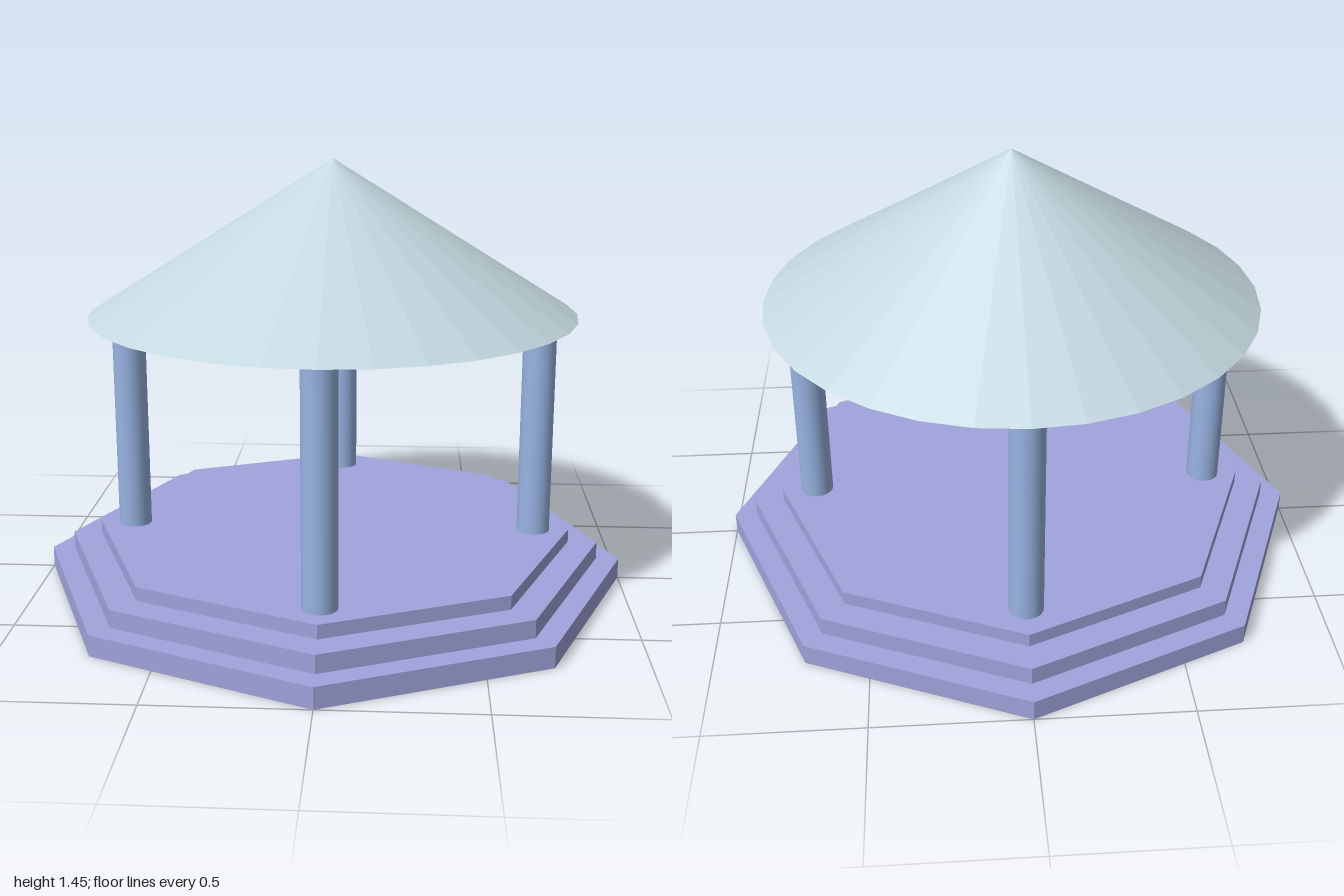
import * as THREE from 'three';

export function createModel() {
  const model = new THREE.Group();
  model.name = 'pavilion';
  const stone = new THREE.MeshStandardMaterial({ color: 0xa0a4dc, flatShading: true });
  stone.name = 'lavender stone';
  const blue = new THREE.MeshStandardMaterial({ color: 0x98b3e2 });
  blue.name = 'column blue';
  const slate = new THREE.MeshStandardMaterial({ color: 0xc3d7df, flatShading: true });
  slate.name = 'pale roof';

  const add = (name, geometry, material, x, y, z) => {
    const mesh = new THREE.Mesh(geometry, material);
    mesh.name = name;
    mesh.position.set(x, y, z);
    model.add(mesh);
  };

  // Octagonal steps, with corners on the axes
  const steps = [
    { name: 'lowerStep', r: 1, y0: 0, y1: 0.07 },
    { name: 'middleStep', r: 0.922, y0: 0.07, y1: 0.13 },
    { name: 'floor', r: 0.822, y0: 0.13, y1: 0.176 },
  ];
  for (const { name, r, y0, y1 } of steps) {
    add(name, new THREE.CylinderGeometry(r, r, y1 - y0, 8), stone, 0, (y0 + y1) / 2, 0);
  }

  // Four columns, at front, back and both sides
  const columnGeometry = new THREE.CylinderGeometry(0.056, 0.056, 0.764, 32);
  ['frontColumn', 'leftColumn', 'backColumn', 'rightColumn'].forEach((name, i) => {
    const a = (i * Math.PI) / 2;
    add(name, columnGeometry, blue, 0.698 * Math.sin(a), 0.558, 0.698 * Math.cos(a) + 0.004);
  });

  // Conical roof
  add('roof', new THREE.ConeGeometry(0.82, 0.514, 32), slate, 0, 0.938 + 0.257, -0.011);

  return model;
}
